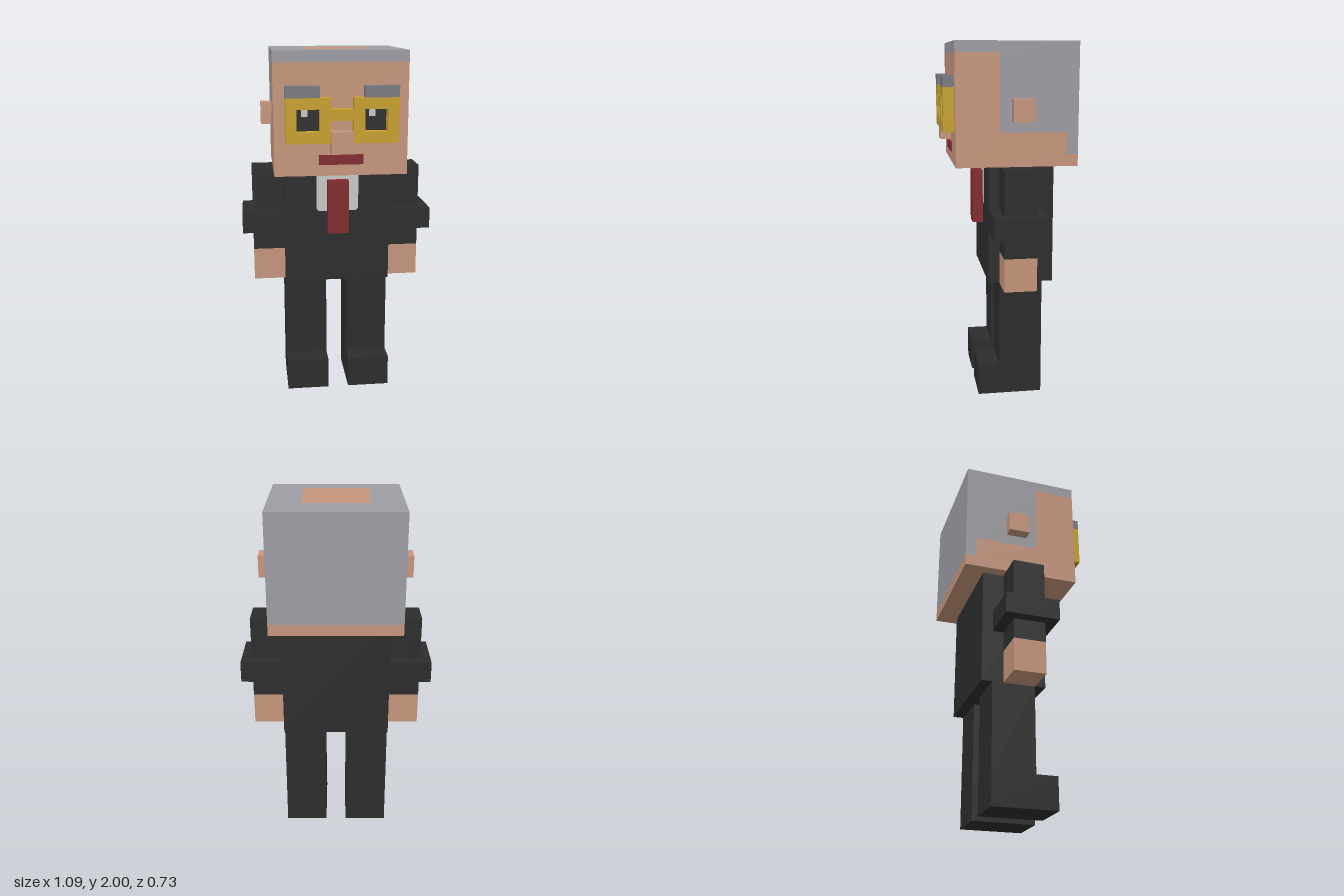
import * as THREE from 'three';

const mat = (name, color) => {
  const m = new THREE.MeshStandardMaterial({ color });
  m.name = name;
  return m;
};

export function createModel() {
  const model = new THREE.Group();
  model.name = 'blockMan';
  const skin = mat('skin', 0xc7977d);
  const hairGrey = mat('hairGrey', 0x9e9da4);
  const browGrey = mat('browGrey', 0x7a7a82);
  const suitBlack = mat('suitBlack', 0x2d2d2d);
  const gold = mat('gold', 0xc9a22c);
  const red = mat('red', 0x822a2e);
  const shirtWhite = mat('shirtWhite', 0xc9cbc5);

  const add = (name, geometry, material) => {
    const mesh = new THREE.Mesh(geometry, material);
    mesh.name = name;
    model.add(mesh);
    return mesh;
  };
  // Box given by its limits along each axis
  const box = (name, material, [x0, x1], [y0, y1], [z0, z1]) =>
    add(name, new THREE.BoxGeometry(x1 - x0, y1 - y0, z1 - z0), material)
      .position.set((x0 + x1) / 2, (y0 + y1) / 2, (z0 + z1) / 2);
  // The same box on both sides
  const pair = (name, material, [x0, x1], y, z) => {
    box(name + 'Left', material, [x0, x1], y, z);
    box(name + 'Right', material, [-x1, -x0], y, z);
  };
  const shapeOf = (points) => new THREE.Shape(points.map(([a, b]) => new THREE.Vector2(a, b)));

  // Head: skin and hair share one stepped side outline, extruded across x
  const H = 0.363, FRONT = 0.303;
  const hairline = [[FRONT, 1.94], [0.065, 1.94], [0.065, 1.54], [0.045, 1.52],
    [-0.3, 1.52], [-0.3, 1.4], [-H, 1.4]];
  const headPart = (name, outline, material) => {
    const g = new THREE.ExtrudeGeometry(shapeOf(outline.map(([z, y]) => [-z, y])),
      { depth: 2 * H, bevelEnabled: false });
    g.translate(0, 0, -H).rotateY(Math.PI / 2);
    add(name, g, material);
  };
  headPart('face', [...hairline, [-H, 1.335], [FRONT, 1.335]], skin);
  headPart('hair', [...hairline, [-H, 2], [FRONT, 2]], hairGrey);

  // Bald patch with slightly clipped corners
  const b = 0.182, c = 0.165;
  const patch = new THREE.ShapeGeometry(shapeOf(
    [[-c, -b], [c, -b], [b, -c], [b, c], [c, b], [-c, b], [-b, c], [-b, -c]]));
  add('baldPatch', patch.rotateX(-Math.PI / 2), skin).position.y = 2.002;

  pair('ear', skin, [H, 0.424], [1.58, 1.7], [-0.12, 0]);

  // Face details
  const raised = [FRONT, 0.363];
  box('nose', skin, [-0.06, 0.06], [1.46, 1.58], raised);
  box('mouth', red, [-0.12, 0.12], [1.396, 1.45], [FRONT, 0.311]);
  pair('eyebrow', browGrey, [0.12, FRONT], [1.76, 1.82], raised);
  pair('eye', suitBlack, [0.12, 0.242], [1.58, 1.7], [FRONT, 0.306]);
  for (const x of [-0.215, 0.148])
    box('eyeGlint', shirtWhite, [x, x + 0.035], [1.657, 1.692], [0.306, 0.309]);

  // Square glasses
  for (const side of [-1, 1]) {
    const rim = shapeOf([[-0.121, -0.12], [0.121, -0.12], [0.121, 0.12], [-0.121, 0.12]]);
    rim.holes.push(shapeOf([[-0.061, -0.06], [-0.061, 0.06], [0.061, 0.06], [0.061, -0.06]]));
    add(side > 0 ? 'glassesRimLeft' : 'glassesRimRight',
      new THREE.ExtrudeGeometry(rim, { depth: 0.06, bevelEnabled: false }), gold)
      .position.set(side * 0.182, 1.64, FRONT);
  }
  box('glassesBridge', gold, [-0.061, 0.061], [1.64, 1.7], raised);

  // Jacket, shirt front and tie
  box('jacket', suitBlack, [-0.303, 0.303], [0.67, 1.335], [-0.242, 0.121]);
  const shirt = shapeOf([[-0.121, 1.335], [-0.121, 1.105], [-0.106, 1.09],
    [0.106, 1.09], [0.121, 1.105], [0.121, 1.335]].reverse());
  add('shirtFront', new THREE.ShapeGeometry(shirt), shirtWhite).position.z = 0.123;
  box('tie', red, [-0.06, 0.06], [0.97, 1.275], [0.121, 0.182]);

  // Arms with broad cuffs
  pair('sleeve', suitBlack, [0.303, 0.485], [0.855, 1.335], [-0.12, 0.06]);
  pair('cuff', suitBlack, [0.303, 0.545], [0.97, 1.09], [-0.182, 0.121]);
  pair('hand', skin, [0.303, 0.485], [0.67, 0.855], [-0.12, 0.06]);

  // Legs and shoes
  pair('leg', suitBlack, [0.06, 0.303], [0.182, 0.67], [-0.182, 0.06]);
  pair('shoe', suitBlack, [0.06, 0.303], [0, 0.182], [-0.182, 0.182]);

  return model;
}
